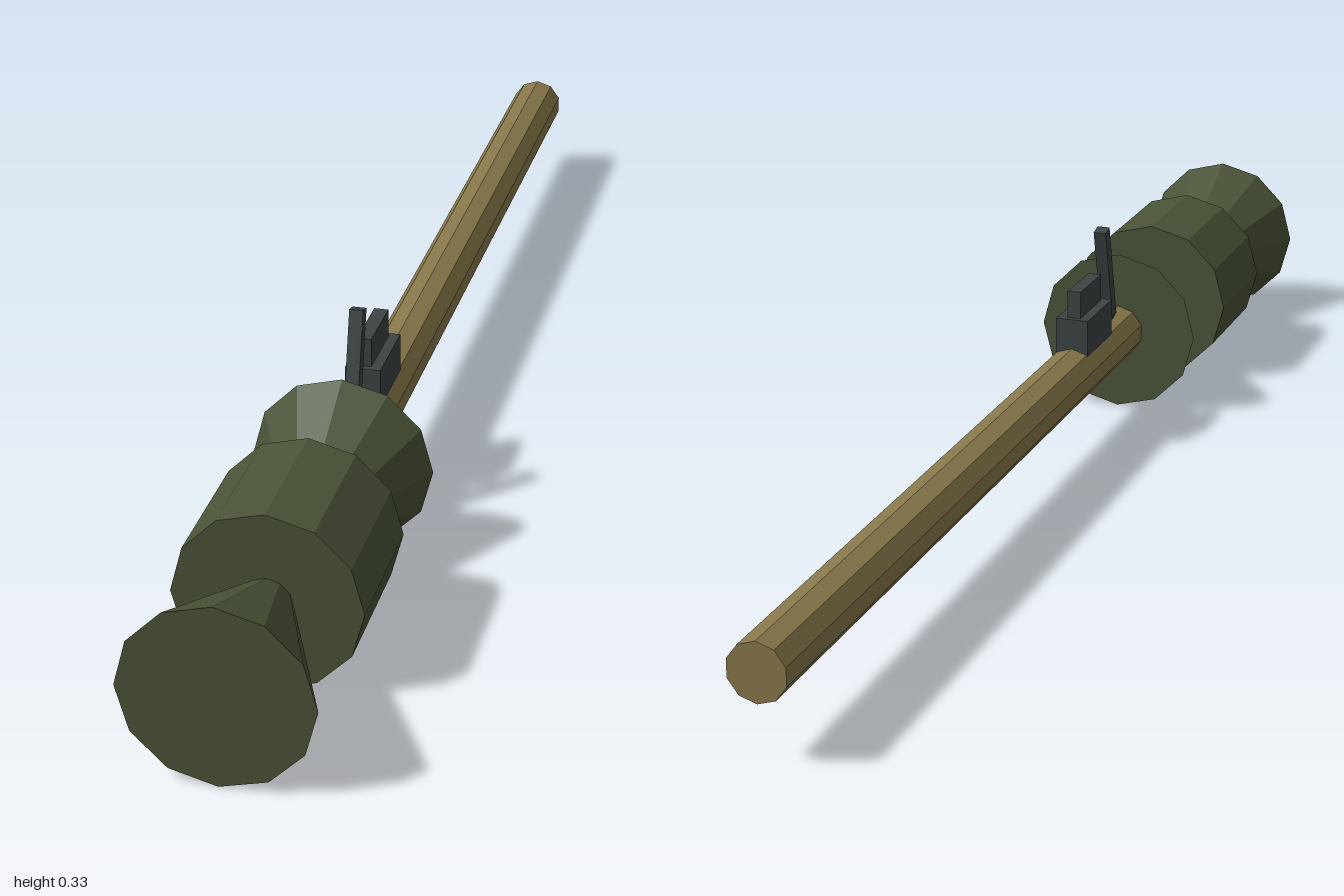
import * as THREE from 'three';

export function createModel() {
  const model = new THREE.Group();
  model.name = 'launcher';
  const AXIS_Y = 0.131;

  const material = (name, color) => {
    const m = new THREE.MeshStandardMaterial({ color, flatShading: true });
    m.name = name;
    return m;
  };
  const olive = material('olive green', 0x4a5337);
  const wood = material('tan brown', 0x87774a);
  const steel = material('dark steel', 0x3c4443);

  const add = (name, geometry, mat, y, z) => {
    const mesh = new THREE.Mesh(geometry, mat);
    mesh.name = name;
    mesh.position.set(0, y, z);
    model.add(mesh);
    return mesh;
  };

  // Faceted section along z, with its own radius at each end
  const section = (name, zBack, zFront, rBack, rFront, sides, mat) => {
    const geometry = new THREE.CylinderGeometry(rFront, rBack, zFront - zBack, sides);
    geometry.rotateX(Math.PI / 2);
    add(name, geometry, mat, AXIS_Y, (zBack + zFront) / 2);
  };

  // Flared head and long shaft
  section('frontCone', 0.77, 1, 0.034, 0.13, 12, olive);
  section('drum', 0.567, 0.775, 0.13, 0.13, 12, olive);
  section('rearCone', 0.393, 0.57, 0.13, 0.034, 12, olive);
  section('shaft', -1, 0.4, 0.042, 0.042, 10, wood);

  // Stepped rear sight and leaning front post
  add('sightBase', new THREE.BoxGeometry(0.052, 0.06, 0.12), steel, 0.191, 0.22);
  add('sightBlock', new THREE.BoxGeometry(0.021, 0.05, 0.1), steel, 0.239, 0.22);
  const post = add('sightPost', new THREE.BoxGeometry(0.02, 0.16, 0.02), steel, 0.25, 0.323);
  post.rotation.x = -0.25;

  return model;
}
